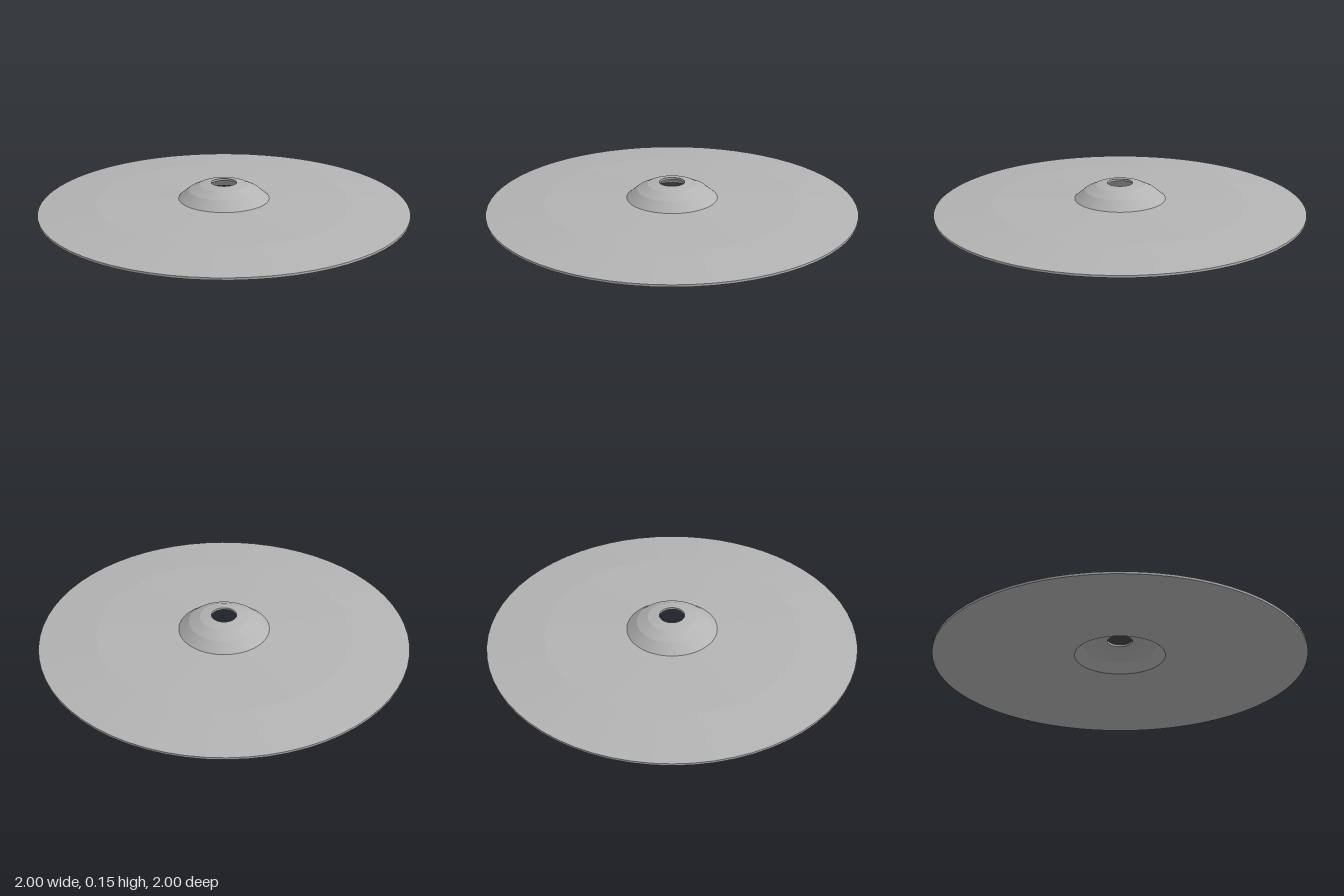
import * as THREE from 'three';

export function createModel() {
  const group = new THREE.Group();
  group.name = 'cymbal';
  const metal = new THREE.MeshStandardMaterial({ color: 0xb4b4b4, flatShading: true });
  metal.name = 'grey metal';

  // Upper surface as [radius, height], from the centre hole to the rim
  const top = [
    [0.068, 0.147], [0.13, 0.136], [0.19, 0.107], [0.245, 0.061],
    [0.69, 0.046], [1, 0.012],
  ];
  const thickness = 0.012;

  // Closed section: underside outwards, rim edge, upper side inwards, hole wall
  const under = top.map(([r, y]) => new THREE.Vector2(r, y - thickness));
  const upper = top.map(([r, y]) => new THREE.Vector2(r, y)).reverse();
  const section = [...under, ...upper, under[0].clone()];

  // Thin dished disc with a raised bell and a centre hole
  const disc = new THREE.Mesh(new THREE.LatheGeometry(section, 64), metal);
  disc.name = 'cymbalDisc';
  group.add(disc);
  return group;
}
